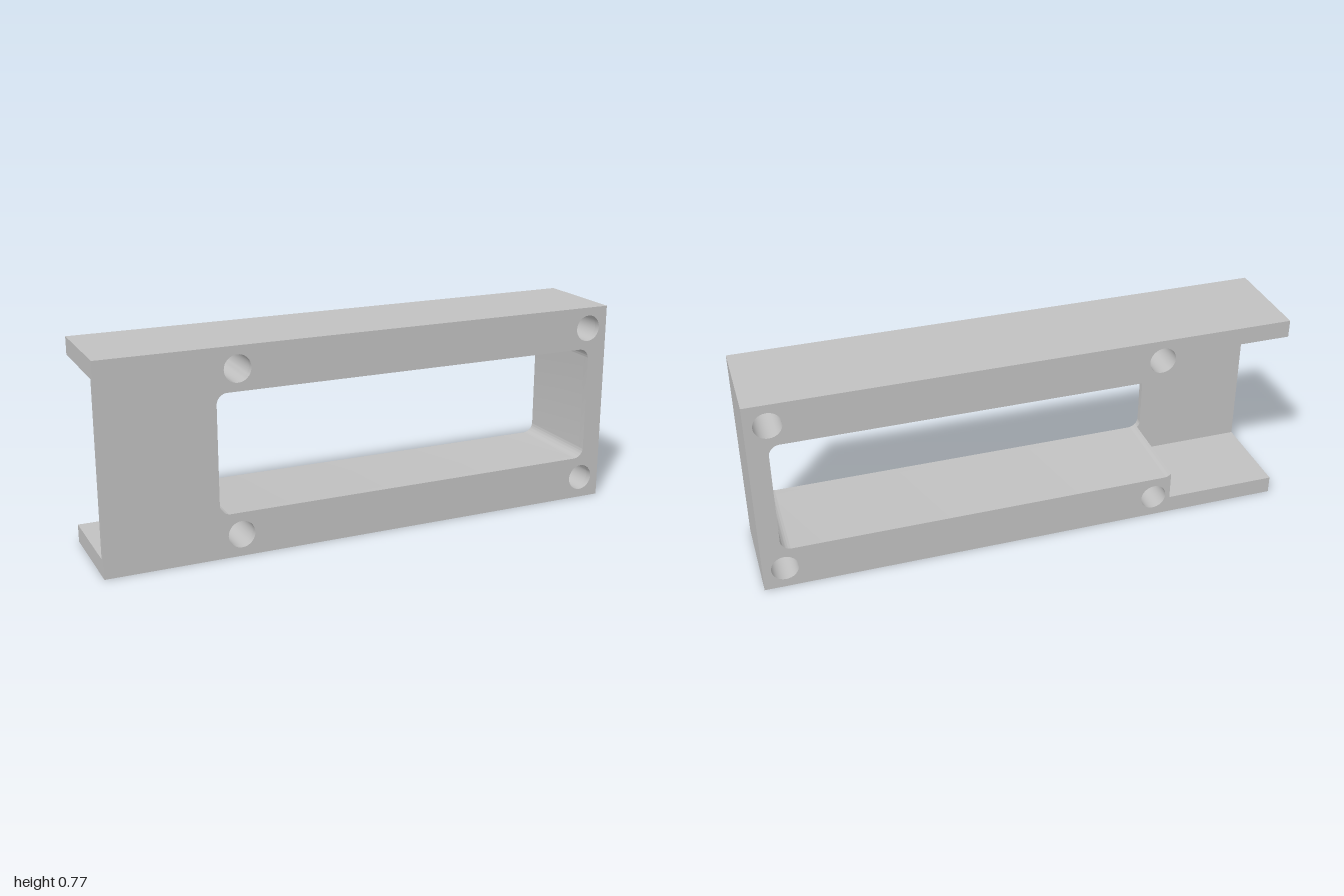
import * as THREE from 'three';
import { toCreasedNormals } from 'three/addons/utils/BufferGeometryUtils.js';

const H = 0.768, D = 0.185;                            // height, half depth
const X0 = -0.581, X1 = 0.926, Y0 = 0.164, Y1 = 0.606; // window
const R = 0.04;                                        // window corner radius
const PX = -0.57, LIP = 0.066, ZP = 0.16;              // pocket end, lip thickness, pocket floor

// Angle at which the pocket end cuts the left window corners
const CUT = Math.acos((X0 + R - PX) / R);
const CUT_DY = R * Math.sin(CUT);

function addScrewHoles(shape) {
  for (const x of [-0.502, 0.919]) {
    for (const y of [0.082, 0.687]) {
      shape.holes.push(new THREE.Path().absarc(x, y, 0.05, 0, Math.PI * 2, true));
    }
  }
  return shape;
}

// Full front outline with the rounded window
function frontShape() {
  const s = new THREE.Shape();
  s.moveTo(-1, 0).lineTo(1, 0).lineTo(1, H).lineTo(-1, H).closePath();
  const w = new THREE.Path();
  const q = Math.PI / 2;
  w.absarc(X0 + R, Y0 + R, R, 2 * q, 3 * q);
  w.absarc(X1 - R, Y0 + R, R, 3 * q, 4 * q);
  w.absarc(X1 - R, Y1 - R, R, 0, q);
  w.absarc(X0 + R, Y1 - R, R, q, 2 * q);
  w.closePath();
  s.holes.push(w);
  return addScrewHoles(s);
}

// C-shaped outline behind the front plate, open at the pocket end
function rearShape() {
  const s = new THREE.Shape();
  const q = Math.PI / 2;
  s.moveTo(-1, 0).lineTo(1, 0).lineTo(1, H).lineTo(-1, H);
  s.lineTo(-1, H - LIP).lineTo(PX, H - LIP).lineTo(PX, Y1 - R + CUT_DY);
  s.absarc(X0 + R, Y1 - R, R, Math.PI - CUT, q, true);
  s.absarc(X1 - R, Y1 - R, R, q, 0, true);
  s.absarc(X1 - R, Y0 + R, R, 4 * q, 3 * q, true);
  s.absarc(X0 + R, Y0 + R, R, 3 * q, Math.PI + CUT, true);
  s.lineTo(PX, LIP).lineTo(-1, LIP).closePath();
  return addScrewHoles(s);
}

// Inner face of the front plate seen inside the pocket
function pocketShape() {
  const s = new THREE.Shape();
  s.moveTo(-1, LIP).lineTo(PX, LIP).lineTo(PX, Y0 + R - CUT_DY);
  s.absarc(X0 + R, Y0 + R, R, Math.PI + CUT, Math.PI, true);
  s.absarc(X0 + R, Y1 - R, R, Math.PI, Math.PI - CUT, true);
  s.lineTo(PX, H - LIP).lineTo(-1, H - LIP).closePath();
  return s;
}

// Extrude from z0 to z1 and drop the cap that would lie inside the body
function openExtrude(shape, z0, z1, dropZ) {
  const g = new THREE.ExtrudeGeometry(shape, { depth: z1 - z0, bevelEnabled: false, curveSegments: 16 });
  g.translate(0, 0, z0);
  const p = g.attributes.position, kept = [];
  for (let i = 0; i < p.count; i += 3) {
    const hidden = [0, 1, 2].every(k => Math.abs(p.getZ(i + k) - dropZ) < 1e-5);
    if (hidden) continue;
    for (let k = 0; k < 3; k++) kept.push(p.getX(i + k), p.getY(i + k), p.getZ(i + k));
  }
  const out = new THREE.BufferGeometry();
  out.setAttribute('position', new THREE.Float32BufferAttribute(kept, 3));
  return toCreasedNormals(out, 0.5);
}

export function createModel() {
  const group = new THREE.Group();
  group.name = 'mountingFrame';
  const lightGrey = new THREE.MeshStandardMaterial({ color: 0xc0c0c0 });
  lightGrey.name = 'lightGrey';

  const add = (name, geometry) => {
    const mesh = new THREE.Mesh(geometry, lightGrey);
    mesh.name = name;
    group.add(mesh);
  };

  add('frontPlate', openExtrude(frontShape(), ZP, D, ZP));
  add('rearFrame', openExtrude(rearShape(), -D, ZP, ZP));

  // Pocket floor, with its corner order reversed to face the back
  const floor = new THREE.ShapeGeometry(pocketShape(), 16);
  floor.translate(0, 0, ZP);
  floor.index.array.reverse();
  floor.computeVertexNormals();
  add('pocketFloor', floor);

  return group;
}
